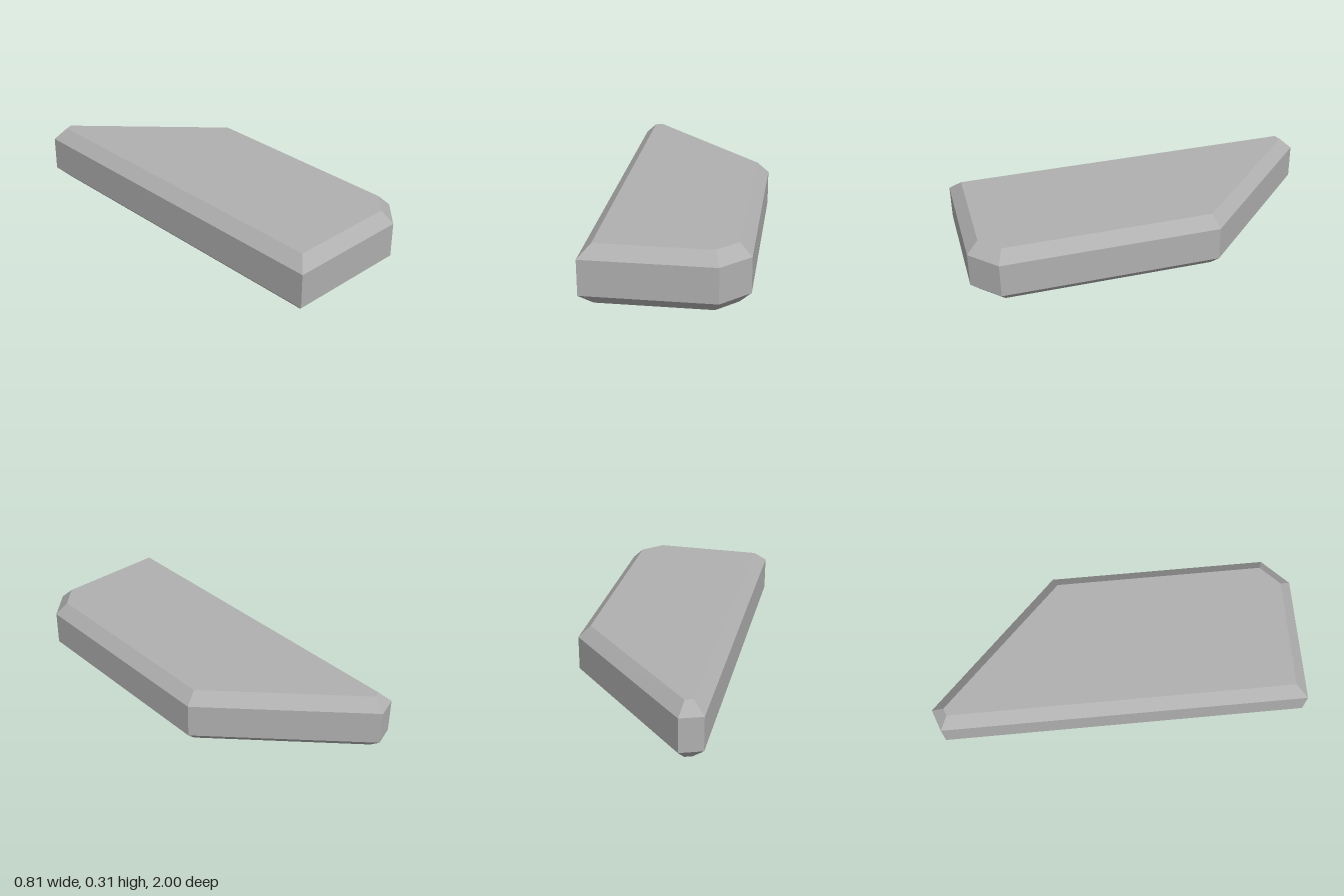
import * as THREE from 'three';

// outlines as [x, z], clockwise seen from above
const OUTER = [[-0.406, -0.957], [-0.29, -1], [0.406, -0.305], [0.406, 0.862], [0.265, 1], [-0.406, 1]];
const INNER = [[-0.344, -0.915], [-0.305, -0.93], [0.344, -0.28], [0.344, 0.836], [0.24, 0.938], [-0.344, 0.938]];
const rect = (x0, x1, z0, z1) => [[x0, z0], [x1, z0], [x1, z1], [x0, z1]];

// flat-sided walls joining rings listed from bottom to top
function walls(rings, inward) {
  const pos = [];
  for (let k = 0; k < rings.length - 1; k++) {
    const lo = rings[k], hi = rings[k + 1], n = lo.pts.length;
    for (let i = 0; i < n; i++) {
      const j = (i + 1) % n;
      const at = (r, m) => [r.pts[m][0], r.y, r.pts[m][1]];
      const q = [at(lo, j), at(lo, i), at(hi, i), at(hi, j)];
      if (inward) q.reverse();
      for (const m of [0, 1, 2, 0, 2, 3]) pos.push(...q[m]);
    }
  }
  const g = new THREE.BufferGeometry();
  g.setAttribute('position', new THREE.Float32BufferAttribute(pos, 3));
  g.computeVertexNormals();
  return g;
}

// horizontal face at height y, looking up or down
function cap(pts, y, up, hole) {
  const s = up ? -1 : 1;
  const v = (list) => list.map(([x, z]) => new THREE.Vector2(x, s * z));
  const shape = new THREE.Shape(v(pts));
  if (hole) shape.holes.push(new THREE.Path(v(hole)));
  return new THREE.ShapeGeometry(shape).rotateX(-s * -Math.PI / 2).translate(0, y, 0);
}

export function createModel() {
  const group = new THREE.Group();
  group.name = 'bevelledSlab';
  const grey = new THREE.MeshStandardMaterial({ color: 0xb0b0b0 });
  grey.name = 'grey';
  const add = (name, geometry) => {
    const mesh = new THREE.Mesh(geometry, grey);
    mesh.name = name;
    group.add(mesh);
  };

  // slab with bevelled top and bottom edges
  add('slabSides', walls([
    { y: 0, pts: INNER }, { y: 0.063, pts: OUTER }, { y: 0.25, pts: OUTER }, { y: 0.312, pts: INNER },
  ]));
  add('slabTop', cap(INNER, 0.312, true));

  // socket in the underside: chamfered mouth, grooved front wall
  const mouth = rect(-0.09, 0.192, 0.073, 0.416);
  const well = (y, z1) => ({ y, pts: rect(-0.057, 0.159, 0.106, z1) });
  add('slabBottom', cap(INNER, 0, false, mouth));
  add('socketWalls', walls([
    { y: 0, pts: mouth }, well(0.033, 0.383), well(0.06, 0.383), well(0.1, 0.405),
    well(0.14, 0.405), well(0.17, 0.36), well(0.28, 0.36),
  ], true));
  add('socketCeiling', cap(well(0, 0.36).pts, 0.28, false));
  return group;
}
